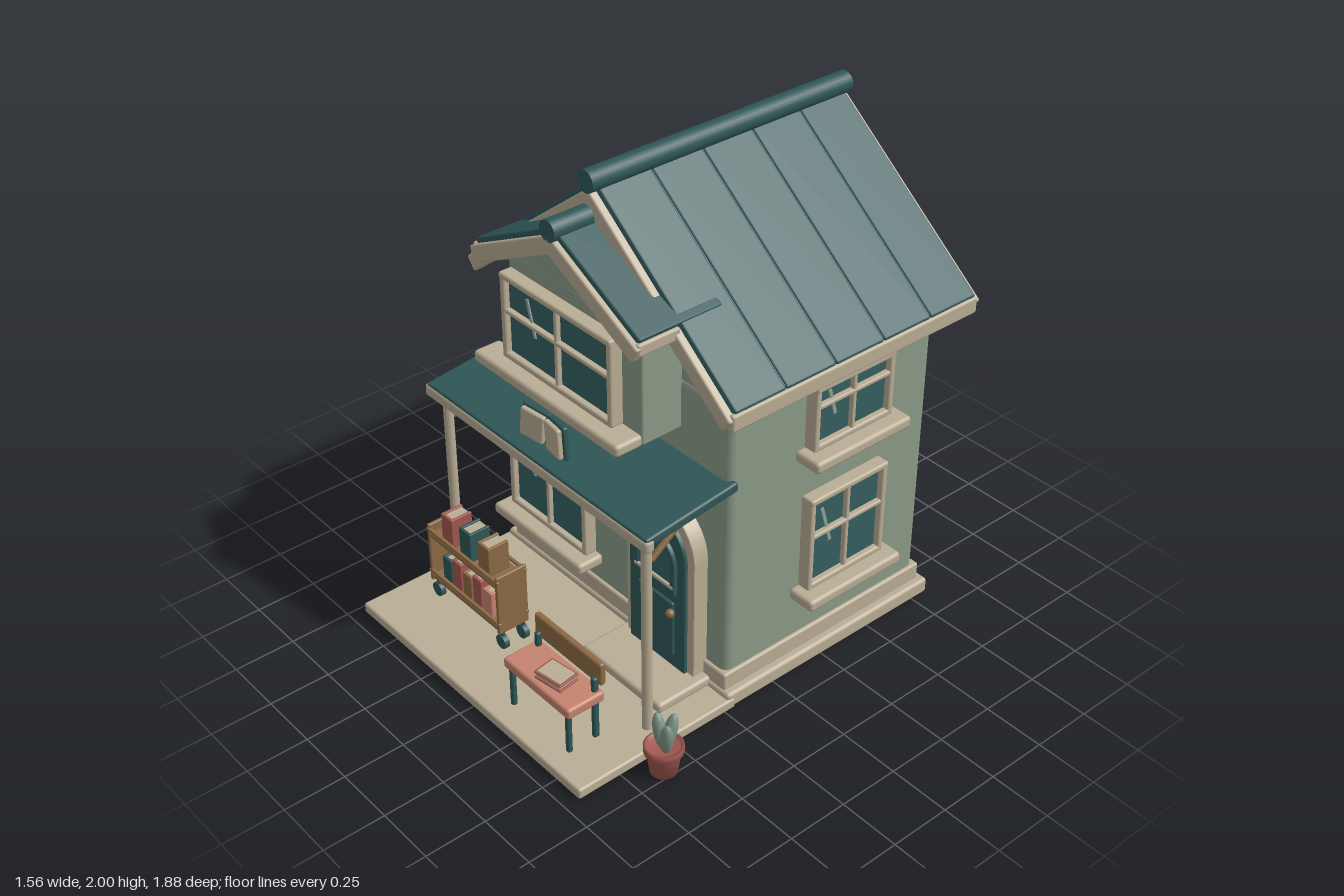
import * as THREE from 'three';
import { RoundedBoxGeometry } from 'three/addons/geometries/RoundedBoxGeometry.js';

const mat = (name, color) => Object.assign(new THREE.MeshStandardMaterial({ color }), { name });
const M = {
  wall: mat('sage wall', 0x8b9b88), cream: mat('cream trim', 0xb9ad95), teal: mat('dark teal', 0x2f5657),
  glass: mat('window glass', 0x355f60), glint: mat('glass glint', 0x8fa39a), wood: mat('brown wood', 0x8c6a45),
  red: mat('brick red', 0xa05850), pink: mat('salmon', 0xc4836f), leaf: mat('leaf green', 0x7d9484),
};
const CX = -0.04; // house centre line

function add(parent, name, geo, material, x = 0, y = 0, z = 0) {
  const m = new THREE.Mesh(geo, material);
  m.name = name;
  m.position.set(x, y, z);
  parent.add(m);
  return m;
}
// softly rounded box given by its min and max on each axis
function box(parent, name, material, x0, x1, y0, y1, z0, z1, r = 0.01) {
  const w = x1 - x0, h = y1 - y0, d = z1 - z0;
  const geo = new RoundedBoxGeometry(w, h, d, 2, Math.min(r, Math.min(w, h, d) * 0.35));
  return add(parent, name, geo, material, (x0 + x1) / 2, (y0 + y1) / 2, (z0 + z1) / 2);
}
function group(parent, name, x = 0, y = 0, z = 0, ry = 0) {
  const g = new THREE.Group();
  g.name = name;
  g.position.set(x, y, z);
  g.rotation.y = ry;
  parent.add(g);
  return g;
}
// one mirrored pair of sloping slabs; apex is the height of the top face at the centre
function slopes(parent, name, material, apex, slope, run, t, z0, z1) {
  const a = Math.atan(slope);
  for (const s of [-1, 1]) {
    const m = box(parent, name, material, 0, run / Math.cos(a), 0, t, z0, z1, 0.008);
    m.position.set(CX + s * run / 2 - s * Math.sin(a) * t / 2, apex - run * slope / 2 - Math.cos(a) * t / 2, (z0 + z1) / 2);
    m.rotation.z = -s * a;
  }
}
function ridge(parent, name, r, y, z0, z1) {
  const m = add(parent, name, new THREE.CylinderGeometry(r, r, z1 - z0, 24), M.teal, CX, y, (z0 + z1) / 2);
  m.rotation.x = Math.PI / 2;
}
function gable(parent, name, half, y0, y1, z0, z1) {
  const s = new THREE.Shape([new THREE.Vector2(-half, y0), new THREE.Vector2(half, y0), new THREE.Vector2(0, y1)]);
  add(parent, name, new THREE.ExtrudeGeometry(s, { depth: z1 - z0, bevelEnabled: false }), M.wall, CX, 0, z0);
}
// window on a wall facing local +z, origin at the bottom centre of the frame
function makeWindow(parent, name, w, h, bar, x, y, z, ry, sill = 0.04) {
  const g = group(parent, name, x, y, z, ry), a = w / 2, t = 0.026;
  box(g, 'pane', M.glass, -a + 0.01, a - 0.01, 0.01, h - 0.01, 0.035, 0.06);
  for (const s of [-1, 1]) box(g, 'sideFrame', M.cream, s * (a - t / 2) - t / 2, s * (a - t / 2) + t / 2, 0, h, 0.028, 0.085);
  box(g, 'topFrame', M.cream, -a, a, h - t, h, 0.028, 0.088);
  box(g, 'bottomFrame', M.cream, -a, a, 0, t, 0.028, 0.085);
  box(g, 'mullion', M.cream, -0.009, 0.009, 0, h, 0.05, 0.08);
  if (bar) box(g, 'crossBar', M.cream, -a, a, h * bar - 0.009, h * bar + 0.009, 0.05, 0.082);
  box(g, 'sill', M.cream, -a - sill, a + sill, -0.045, 0.003, 0.025, 0.145, 0.015);
  const glint = add(g, 'glint', new THREE.BoxGeometry(0.014, Math.min(0.17, h * 0.42), 0.005), M.glint, -a * 0.5, h * 0.62, 0.064);
  glint.rotation.z = 0.28;
}
// arched outline standing on y0, optionally as a ring of width t
function arch(half, y0, spring, depth, t = 0) {
  const trace = (p, r, b) => p.moveTo(-r, b).lineTo(r, b).lineTo(r, spring).absarc(0, spring, r, 0, Math.PI, false).lineTo(-r, b);
  const s = trace(new THREE.Shape(), half, y0);
  if (t) s.holes.push(trace(new THREE.Path(), half - t, y0 + 0.015));
  return new THREE.ExtrudeGeometry(s, { depth, curveSegments: 20, bevelEnabled: true, bevelSize: 0.005, bevelThickness: 0.005, bevelSegments: 2 });
}

function buildHouse(root) {
  const h = group(root, 'house');
  box(h, 'porchSlab', M.cream, -0.72, 0.635, 0, 0.045, 0.2, 0.94);
  box(h, 'foundation', M.cream, -0.715, 0.63, 0, 0.068, -0.83, 0.235, 0.015);
  box(h, 'skirting', M.cream, -0.677, 0.597, 0.06, 0.138, -0.805, 0.225);
  box(h, 'walls', M.wall, -0.663, 0.583, 0.06, 1.31, -0.79, 0.21, 0.035);
  gable(h, 'mainGable', 0.62, 1.305, 1.86, -0.788, 0.208);

  // main roof in five planks per side, with cream edging
  slopes(h, 'roofUnderlay', M.teal, 1.944, 0.785, 0.722, 0.024, -0.885, 0.285);
  for (let i = 0; i < 5; i++) slopes(h, 'roofPlank', M.teal, 1.952, 0.785, 0.73, 0.022, -0.885 + i * 0.234 + 0.002, -0.885 + (i + 1) * 0.234 - 0.002);
  for (const z of [-0.905, 0.28]) slopes(h, 'rakeBoard', M.cream, 1.93, 0.785, 0.735, 0.065, z, z + 0.036);
  for (const s of [-1, 1]) box(h, 'eaveBoard', M.cream, CX + s * 0.715 - 0.02, CX + s * 0.715 + 0.02, 1.305, 1.372, -0.89, 0.3);
  ridge(h, 'mainRidge', 0.043, 1.957, -0.905, 0.32);

  // dormer
  const d = group(h, 'dormer');
  box(d, 'dormerWalls', M.wall, CX - 0.37, CX + 0.37, 1.1, 1.56, 0.15, 0.387);
  gable(d, 'dormerGable', 0.37, 1.555, 1.75, 0.15, 0.386);
  slopes(d, 'dormerRoof', M.teal, 1.835, 0.51, 0.455, 0.03, 0.1, 0.465);
  slopes(d, 'dormerRake', M.cream, 1.812, 0.51, 0.465, 0.068, 0.45, 0.487);
  for (const s of [-1, 1]) box(d, 'dormerEave', M.cream, CX + s * 0.445 - 0.016, CX + s * 0.445 + 0.016, 1.54, 1.59, 0.29, 0.475);
  ridge(d, 'dormerRidge', 0.042, 1.828, 0.1, 0.487);
  makeWindow(d, 'dormerWindow', 0.62, 0.355, 0.56, CX, 1.18, 0.39, 0, 0.1);

  // wall windows
  makeWindow(h, 'shopWindow', 0.475, 0.44, 0, -0.363, 0.297, 0.21, 0, 0.035);
  for (const [y, hh, bar] of [[0.4, 0.41, 0.57], [1.02, 0.275, 0.66]]) {
    makeWindow(h, 'sideWindow', 0.39, hh, bar, 0.585, y, -0.31, Math.PI / 2);
    makeWindow(h, 'backWindow', 0.39, hh, bar, CX, y, -0.79, Math.PI);
  }

  // door
  const door = group(h, 'door', 0.29, 0, 0.21);
  add(door, 'doorFrame', arch(0.185, 0.07, 0.605, 0.06, 0.035), M.cream);
  add(door, 'doorLeaf', arch(0.15, 0.08, 0.59, 0.075), M.teal);
  add(door, 'doorPane', arch(0.09, 0.46, 0.565, 0.006), M.glass, 0, 0, 0.078);
  add(door, 'paneTrim', arch(0.11, 0.44, 0.56, 0.012, 0.016), M.teal, 0, 0, 0.08);
  box(door, 'letterSlot', M.cream, -0.11, 0.11, 0.462, 0.478, 0.08, 0.1);
  box(door, 'lowerPanel', M.teal, -0.1, 0.1, 0.14, 0.39, 0.07, 0.092);
  add(door, 'knob', new THREE.SphereGeometry(0.018, 16, 12), M.wood, 0.115, 0.37, 0.115);
  box(h, 'doorStep', M.cream, 0.07, 0.52, 0.04, 0.085, 0.22, 0.475, 0.015);
}

function buildPorch(root) {
  const p = group(root, 'porch');
  const roof = box(p, 'porchRoof', M.teal, -0.68, 0.6, 0.94, 0.98, 0.18, 0.6);
  roof.position.set(CX, 0.957, 0.387);
  roof.rotation.x = 0.115;
  box(p, 'porchBeam', M.cream, -0.69, 0.605, 0.893, 0.947, 0.56, 0.602, 0.015);
  for (const s of [-1, 1]) {
    const x = CX + s * 0.58;
    add(p, 'porchPost', new THREE.CylinderGeometry(0.02, 0.02, 0.87, 16), M.cream, x, 0.47, 0.548);
    const brace = box(p, 'brace', M.wood, x - 0.011, x + 0.011, 0, 0.02, 0, 0.2);
    brace.position.set(x, 0.86, 0.45);
    brace.rotation.x = 0.64;
  }
  // open book sign
  for (const s of [-1, 1]) {
    const half = group(p, 'bookSign', CX + s * 0.062, 1.035, 0.525, -s * 0.2);
    half.rotation.z = s * 0.1;
    box(half, 'cover', M.teal, -0.062, 0.062, -0.067, 0.067, -0.022, 0);
    box(half, 'pages', M.cream, -0.054, 0.054, -0.06, 0.06, 0, 0.022);
  }
}

function buildCart(root) {
  const c = group(root, 'bookCart');
  for (const x of [-0.575, -0.14]) {
    box(c, 'sidePanel', M.wood, x - 0.008, x + 0.008, 0.13, 0.4, 0.57, 0.71);
    for (const z of [0.595, 0.69]) {
      const w = add(c, 'wheel', new THREE.CylinderGeometry(0.03, 0.03, 0.022, 16), M.teal, x + (x < -0.3 ? 0.02 : -0.0), 0.088, z);
      w.rotation.x = Math.PI / 2;
      box(c, 'caster', M.teal, w.position.x - 0.008, w.position.x + 0.008, 0.09, 0.14, z - 0.008, z + 0.008);
    }
  }
  for (const y of [0.135, 0.335]) {
    box(c, 'shelf', M.wood, -0.58, -0.135, y, y + 0.025, 0.575, 0.705);
    for (const z of [0.57, 0.698]) box(c, 'rail', M.wood, -0.585, -0.128, y + 0.035, y + 0.05, z, z + 0.015);
  }
  const book = (cover, x, w, y, top) => {
    const g = group(c, 'book');
    for (const s of [0, 1]) box(g, 'cover', cover, x + s * (w - 0.012), x + s * (w - 0.012) + 0.012, y, top, 0.6, 0.692, 0.003);
    box(g, 'spine', cover, x, x + w, y, top, 0.682, 0.695, 0.004);
    box(g, 'pages', M.cream, x + 0.008, x + w - 0.008, y + 0.004, top - 0.006, 0.604, 0.686, 0.003);
  };
  [M.red, M.teal, M.wood].forEach((m, i) => book(m, -0.5 + i * 0.116, 0.07, 0.36, 0.49));
  [M.teal, M.red, M.wood, M.red, M.pink].forEach((m, i) => book(m, -0.51 + i * 0.065, 0.054, 0.16, i % 2 ? 0.3 : 0.28));
}

function buildBench(root) {
  const b = group(root, 'bench');
  box(b, 'seat', M.pink, 0.097, 0.48, 0.215, 0.26, 0.692, 0.86, 0.012);
  box(b, 'backrest', M.wood, 0.097, 0.48, 0.29, 0.388, 0.685, 0.712, 0.012);
  for (const x of [0.125, 0.452]) {
    box(b, 'backLeg', M.teal, x - 0.011, x + 0.011, 0.04, 0.32, 0.705, 0.73);
    box(b, 'frontLeg', M.teal, x - 0.011, x + 0.011, 0.04, 0.225, 0.828, 0.85);
  }
  const g = group(b, 'seatBook', 0.318, 0.262, 0.785, 0.15);
  box(g, 'lowerCover', M.red, -0.065, 0.065, 0, 0.008, -0.048, 0.048);
  box(g, 'pages', M.cream, -0.06, 0.06, 0.006, 0.026, -0.045, 0.045);
  box(g, 'upperCover', M.red, -0.065, 0.065, 0.024, 0.032, -0.048, 0.048);
  box(g, 'label', M.cream, -0.056, 0.056, 0.03, 0.035, -0.04, 0.04);
}

function buildPlant(root) {
  const p = group(root, 'pottedPlant', 0.71, 0, 0.615);
  const profile = [[0, 0], [0.052, 0], [0.064, 0.092], [0.074, 0.094], [0.075, 0.12], [0.064, 0.122], [0.06, 0.105], [0, 0.105]];
  add(p, 'pot', new THREE.LatheGeometry(profile.map(([x, y]) => new THREE.Vector2(x, y)), 24).toNonIndexed(), M.red);
  // three leaning leaves
  for (const [x, z, rz, rx] of [[-0.022, 0.0, 0.22, 0], [0.028, 0.012, -0.2, 0.1], [0.005, -0.025, -0.05, -0.25]]) {
    const l = add(p, 'leaf', new THREE.SphereGeometry(1, 16, 12), M.leaf, x, 0.172, z);
    l.scale.set(0.027, 0.076, 0.024);
    l.rotation.set(rx, 0, rz);
  }
}

export function createModel() {
  const root = new THREE.Group();
  root.name = 'bookshopHouse';
  buildHouse(root);
  buildPorch(root);
  buildCart(root);
  buildBench(root);
  buildPlant(root);
  return root;
}
